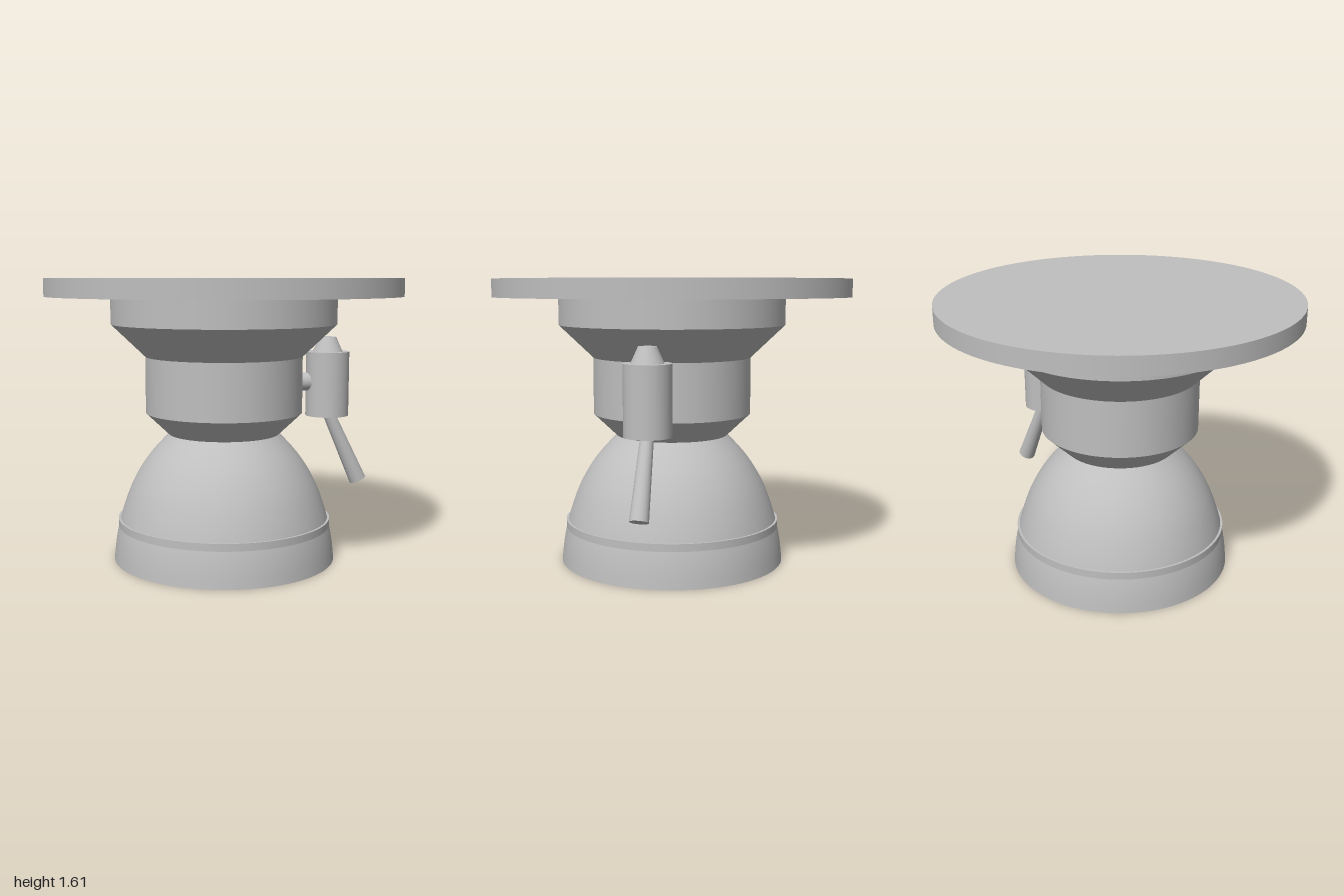
import * as THREE from 'three';
import { mergeGeometries } from 'three/addons/utils/BufferGeometryUtils.js';

const SEG = 96;
const metal = new THREE.MeshStandardMaterial({ color: 0xbfbfbf });
metal.name = 'greyMetal';

const toPoints = (list) => list.map(([r, y]) => new THREE.Vector2(r, y));

function addMesh(parent, name, geometry) {
  const mesh = new THREE.Mesh(geometry, metal);
  mesh.name = name;
  parent.add(mesh);
  return mesh;
}

// Turned surface with a hard edge at every profile point
function turned(list, segments = SEG) {
  const pts = toPoints(list);
  return mergeGeometries(pts.slice(1).map((p, i) => new THREE.LatheGeometry([pts[i], p], segments)));
}

export function createModel() {
  const model = new THREE.Group();
  model.name = 'engine';

  // Wide mounting plate
  addMesh(model, 'mountingPlate', new THREE.CylinderGeometry(1, 1, 0.1, 128)).position.y = 1.555;

  // Stepped housing: lower taper, drum, upper flare, collar
  addMesh(model, 'housing', turned([
    [0, 0.722], [0.315, 0.722], [0.447, 0.848], [0.447, 1.167], [0.638, 1.35], [0.638, 1.505],
  ]));

  // Hollow bell nozzle
  const curve = new THREE.SplineCurve(toPoints([
    [0.638, 0], [0.627, 0.1], [0.608, 0.2], [0.574, 0.32], [0.527, 0.44],
    [0.465, 0.55], [0.396, 0.64], [0.315, 0.725],
  ]));
  const outer = curve.getPoints(28);
  const inner = outer.map((p) => new THREE.Vector2(p.x - 0.028, p.y)).reverse();
  const nozzle = new THREE.Group();
  nozzle.name = 'nozzle';
  model.add(nozzle);
  addMesh(nozzle, 'nozzleOuter', new THREE.LatheGeometry(outer, SEG));
  addMesh(nozzle, 'nozzleInner', new THREE.LatheGeometry(inner, SEG));
  addMesh(nozzle, 'nozzleLip', turned([[0.61, 0], [0.638, 0]]));
  addMesh(nozzle, 'nozzleThroat', turned([[0, 0.722], [0.29, 0.722]]));
  addMesh(nozzle, 'nozzleBand', turned([[0.595, 0.198], [0.611, 0.198], [0.611, 0.24], [0.585, 0.24]]));

  // Side pump on the model's left
  const pump = new THREE.Group();
  pump.name = 'sidePump';
  pump.position.x = 0.625;
  model.add(pump);
  addMesh(pump, 'pumpBody', new THREE.CylinderGeometry(0.126, 0.126, 0.375, 48)).position.y = 0.993;
  addMesh(pump, 'pumpCap', new THREE.CylinderGeometry(0.048, 0.087, 0.086, 48)).position.y = 1.223;
  const strut = addMesh(pump, 'pumpStrut', new THREE.CylinderGeometry(0.053, 0.053, 0.16, 32));
  strut.rotation.z = Math.PI / 2;
  strut.position.set(-0.15, 1.007, 0);

  // Slanted exhaust pipe, widening downwards
  const top = new THREE.Vector3(0, 0.84, 0);
  const end = new THREE.Vector3(0.202, 0.408, 0);
  const dir = top.clone().sub(end);
  const pipe = addMesh(pump, 'exhaustPipe', new THREE.CylinderGeometry(0.034, 0.05, dir.length(), 32));
  pipe.position.copy(top).add(end).multiplyScalar(0.5);
  pipe.quaternion.setFromUnitVectors(new THREE.Vector3(0, 1, 0), dir.normalize());

  return model;
}
